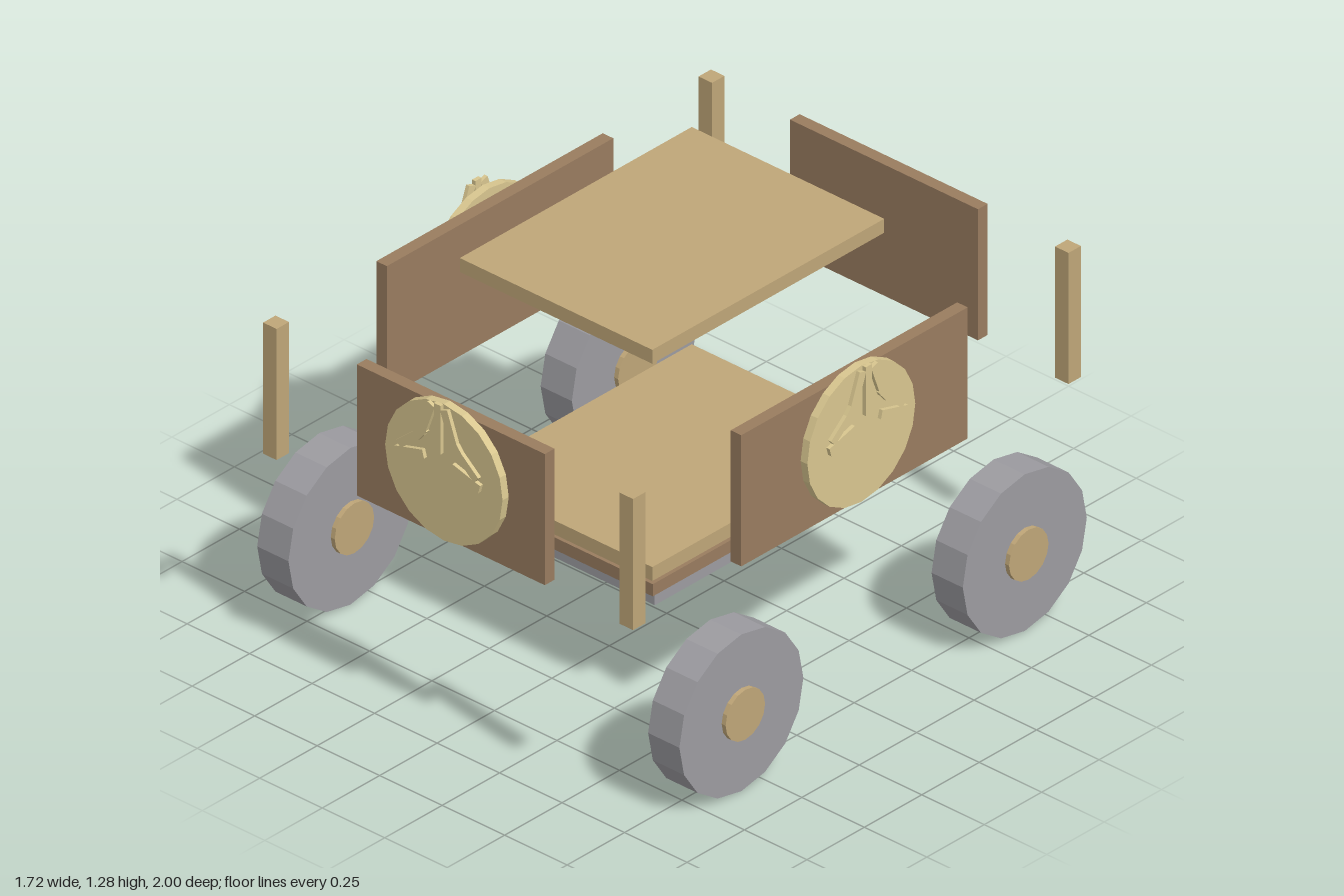
import * as THREE from 'three';

const material = (color) => new THREE.MeshStandardMaterial({ color, flatShading: true });

export function createModel() {
  const tan = material(0xbfa678);
  const brown = material(0x997c5f);
  const cream = material(0xd8c68f);
  const grey = material(0x9c9ba0);
  const model = new THREE.Group();
  model.name = 'explodedCart';
  const midZ = -0.023;

  const add = (parent, name, geometry, mat, x, y, z) => {
    const mesh = new THREE.Mesh(geometry, mat);
    mesh.name = name;
    mesh.position.set(x, y, z);
    parent.add(mesh);
    return mesh;
  };
  const box = (parent, name, mat, w, h, d, x, y, z) =>
    add(parent, name, new THREE.BoxGeometry(w, h, d), mat, x, y, z);

  // Stacked horizontal boards
  box(model, 'roof', tan, 0.77, 0.048, 1.01, 0, 1.258, midZ);
  box(model, 'floor', tan, 0.77, 0.048, 1.01, 0, 0.509, midZ);
  box(model, 'subfloor', brown, 0.752, 0.042, 0.986, 0, 0.444, midZ);
  box(model, 'chassis', grey, 0.67, 0.06, 0.88, 0, 0.382, midZ);

  // Wall panels
  box(model, 'frontPanel', brown, 0.752, 0.452, 0.042, 0, 0.898, 0.919);
  box(model, 'backPanel', brown, 0.752, 0.452, 0.042, 0, 0.898, -0.967);

  // Medallion facing +z: disc with a fan of raised bars
  const medallion = (name, discZ, barZ) => {
    const group = new THREE.Group();
    group.name = name;
    const disc = new THREE.CylinderGeometry(0.235, 0.235, 0.027, 20).rotateX(Math.PI / 2);
    add(group, 'disc', disc, cream, 0, 0.92, discZ);
    box(group, 'centreBar', cream, 0.026, 0.168, 0.013, 0, 1.083, barZ);
    for (const s of [-1, 1]) {
      // x, y, length, thickness, slope of each bar
      for (const [x, y, len, t, a] of [
        [0.046, 1.1, 0.12, 0.03, -1.22],
        [0.072, 1.042, 0.055, 0.03, -0.9],
        [0.117, 1.0, 0.1, 0.028, -0.7],
        [0.112, 0.957, 0.115, 0.029, -0.27],
      ]) {
        box(group, 'slantedBar', cream, len, t, 0.013, s * x, y, barZ).rotation.z = s * a;
      }
    }
    model.add(group);
    return group;
  };
  medallion('frontMedallion', 0.957, 0.993);

  for (const s of [-1, 1]) {
    const side = s > 0 ? 'left' : 'right';
    box(model, side + 'Panel', brown, 0.042, 0.452, 0.986, s * 0.709, 0.898, midZ);
    const badge = medallion(side + 'Medallion', 0.744, 0.781);
    badge.rotation.y = s * Math.PI / 2;
    badge.position.z = midZ;

    for (const e of [-1, 1]) {
      const end = e > 0 ? 'Front' : 'Back';
      box(model, side + end + 'Post', tan, 0.054, 0.452, 0.054, s * 0.713, 0.898, midZ + e * 0.948);

      // Wheel with a hub poking out of both faces
      const wheel = new THREE.Group();
      wheel.name = side + end + 'Wheel';
      wheel.position.set(s * 0.782, 0.27, midZ + e * 0.617);
      const tyre = new THREE.CylinderGeometry(0.27, 0.27, 0.125, 16).rotateZ(Math.PI / 2);
      const hub = new THREE.CylinderGeometry(0.086, 0.086, 0.157, 16).rotateZ(Math.PI / 2);
      add(wheel, 'tyre', tyre, grey, 0, 0, 0);
      add(wheel, 'hub', hub, tan, 0, 0, 0);
      model.add(wheel);
    }
  }
  return model;
}
